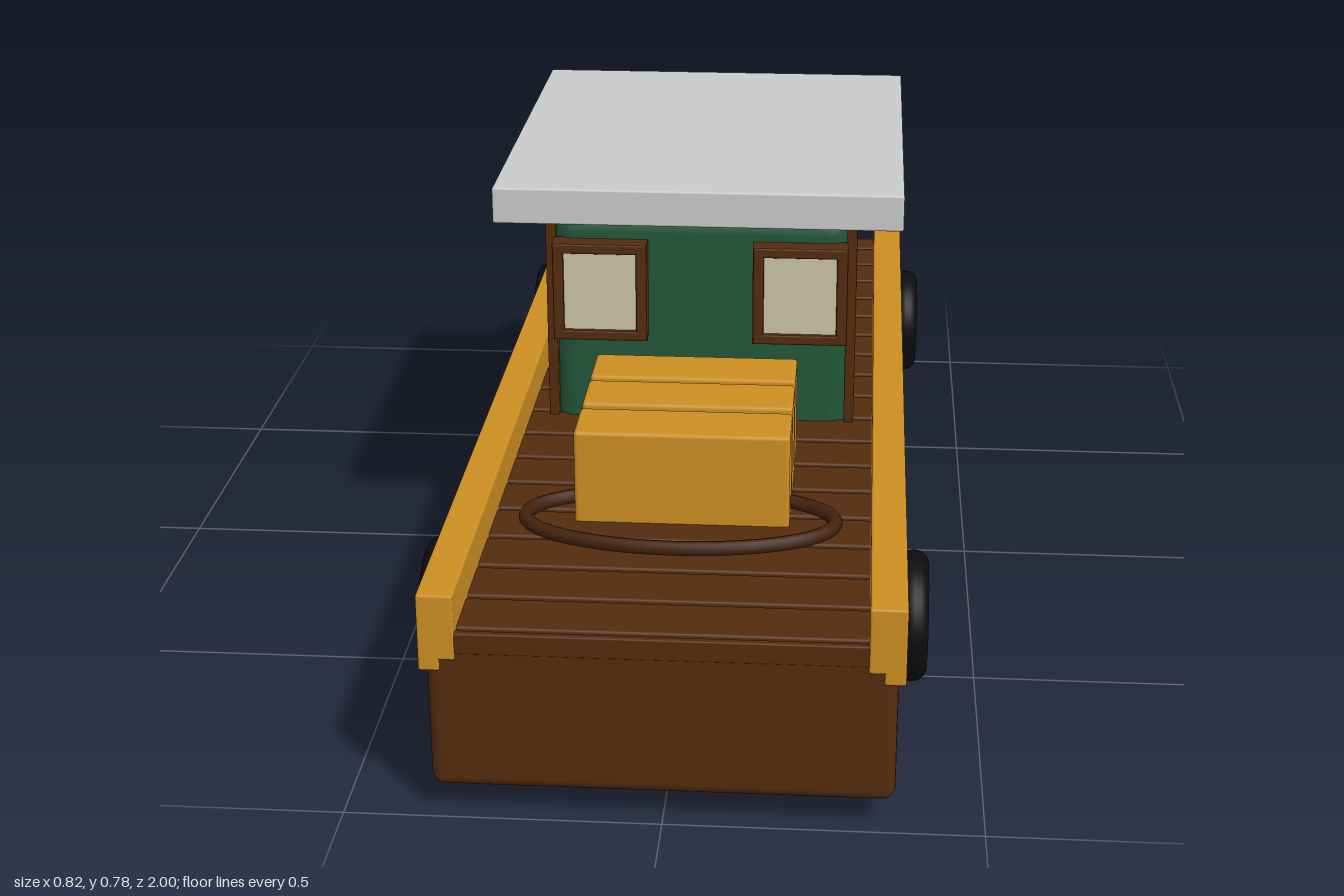
import * as THREE from 'three';
import { RoundedBoxGeometry } from 'three/addons/geometries/RoundedBoxGeometry.js';

function paint(name, color) {
  const m = new THREE.MeshStandardMaterial({ color });
  m.name = name;
  return m;
}

export function createModel() {
  const boat = new THREE.Group();
  boat.name = 'riverBoat';

  const wood = paint('brown wood', 0x542b0e);
  const gold = paint('golden wood', 0xcb8e22);
  const green = paint('green paint', 0x22563a);
  const grey = paint('roof grey', 0xcacaca);
  const black = paint('black rubber', 0x0d0d0f);
  const cream = paint('cream glass', 0xcbc4a6);
  const ropeBrown = paint('dark rope', 0x41220d);

  function add(name, geometry, material, parent = boat) {
    const mesh = new THREE.Mesh(geometry, material);
    mesh.name = name;
    parent.add(mesh);
    return mesh;
  }

  // Box given by its limits on each axis, with optional rounded edges
  function box(name, [x0, x1], [y0, y1], [z0, z1], material, radius = 0, parent = boat) {
    const w = x1 - x0, h = y1 - y0, d = z1 - z0;
    const geometry = radius
      ? new RoundedBoxGeometry(w, h, d, 3, radius)
      : new THREE.BoxGeometry(w, h, d);
    const mesh = add(name, geometry, material, parent);
    mesh.position.set((x0 + x1) / 2, (y0 + y1) / 2, (z0 + z1) / 2);
    return mesh;
  }

  // Hull
  box('hull', [-0.36, 0.36], [0.05, 0.305], [-0.945, 0.997], wood, 0.02);

  // Deck planks laid across the hull
  const deck = new THREE.Group();
  deck.name = 'deck';
  boat.add(deck);
  const pitch = 0.1085;
  for (let i = 0; i < 18; i++) {
    const front = 0.975 - i * pitch;
    const back = Math.max(front - pitch + 0.01, -0.935);
    box('deckPlank', [-0.335, 0.335], [0.285, 0.32], [back, front], wood, 0.005, deck);
  }
  box('bowPlank', [-0.335, 0.335], [0.285, 0.32], [0.985, 0.998], wood, 0.003, deck);

  for (const side of [-1, 1]) {
    const xs = (a, b) => (side > 0 ? [a, b] : [-b, -a]);

    // Side rail with a lower rubbing strip
    box('rail', xs(0.314, 0.371), [0.275, 0.384], [-0.95, 1], gold, 0.004);
    box('rubbingStrip', xs(0.338, 0.371), [0.256, 0.3], [-0.95, 1], gold, 0.004);

    // Tyre fenders
    for (const z of [0.715, -0.655]) {
      const tyre = add('tyreFender', new THREE.TorusGeometry(0.083, 0.0235, 14, 36), black);
      tyre.rotation.y = Math.PI / 2;
      tyre.position.set(side * 0.385, 0.23, z);
    }

    // Cabin side boards
    const boards = new THREE.Group();
    boards.name = 'cabinBoards';
    boat.add(boards);
    for (let i = 0; i < 9; i++) {
      const front = 0.133 - i * 0.0718;
      box('sideBoard', xs(0.262, 0.28), [0.3, 0.698], [front - 0.066, front], wood, 0.003, boards);
    }

    // Front window: frame with a hole, and a pane
    const windowGroup = new THREE.Group();
    windowGroup.name = 'window';
    windowGroup.position.set(side * 0.18, 0.572, 0.125);
    boat.add(windowGroup);
    const rect = (path, w, h) => path.moveTo(-w, -h).lineTo(w, -h).lineTo(w, h).lineTo(-w, h).closePath();
    const outline = rect(new THREE.Shape(), 0.081, 0.088);
    outline.holes.push(rect(new THREE.Path(), 0.069, 0.076));
    add('windowFrame', new THREE.ExtrudeGeometry(outline, {
      depth: 0.036, bevelThickness: 0.004, bevelSize: 0.004, bevelSegments: 2,
    }), wood, windowGroup);
    const pane = add('windowPane', new THREE.BoxGeometry(0.14, 0.154, 0.008), cream, windowGroup);
    pane.position.z = 0.03;
  }

  // Cabin and flat roof
  box('cabin', [-0.268, 0.268], [0.27, 0.715], [-0.51, 0.132], green, 0.04);
  box('roof', [-0.36, 0.36], [0.719, 0.784], [-0.605, 0.225], grey, 0.004);

  // Cargo crates on the foredeck
  for (const z of [0.283, 0.408, 0.535]) {
    box('crate', [-0.179, 0.179], [0.3, 0.481], [z - 0.054, z + 0.054], gold, 0.007);
  }

  // Coil of rope lying on the deck
  class Oval extends THREE.Curve {
    getPoint(t, target = new THREE.Vector3()) {
      const a = t * Math.PI * 2;
      return target.set(Math.cos(a) * 0.256, 0, Math.sin(a) * 0.112);
    }
  }
  const rope = add('rope', new THREE.TubeGeometry(new Oval(), 64, 0.012, 10, true), ropeBrown);
  rope.position.set(0, 0.345, 0.62);

  // Outboard motor with grille slats and shaft
  box('motorHousing', [-0.108, 0.108], [0.25, 0.464], [-0.98, -0.77], black, 0.014);
  for (let i = 0; i < 6; i++) {
    const y = 0.31 + i * 0.019;
    box('grilleSlat', [-0.085, 0.085], [y - 0.005, y + 0.005], [-1, -0.97], cream);
  }
  const shaft = add('motorShaft', new THREE.CylinderGeometry(0.016, 0.016, 0.27, 12), black);
  shaft.position.set(0, 0.135, -0.92);

  return boat;
}
